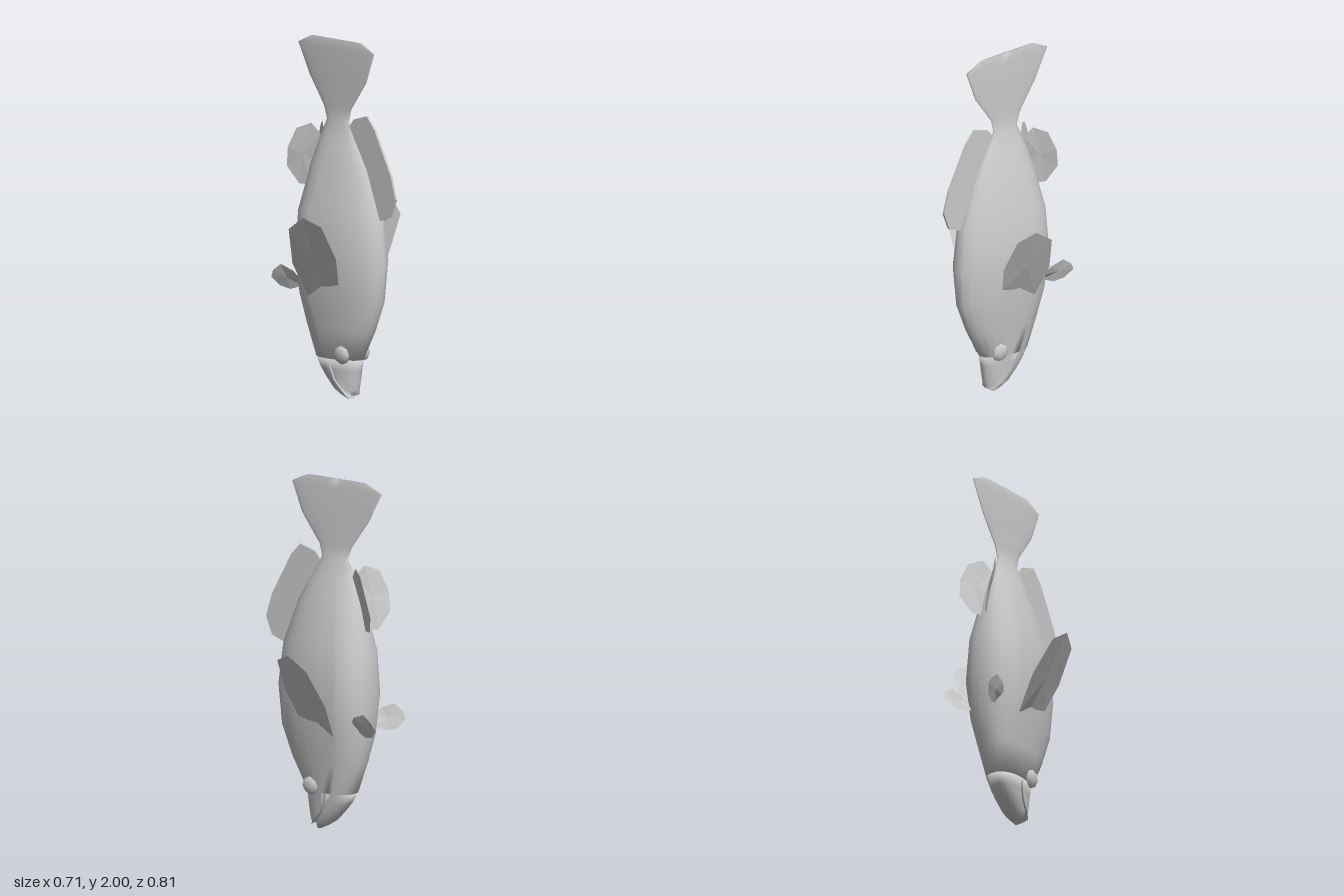
import * as THREE from 'three';

const SIDES = 28;

// Body sections along the height: [y, back z, belly z, half width, widest point as a fraction from the belly]
const TIP = [0.005, 0.085, 0.045, 0.02, 0.5];
const SNOUT = [
  [0.03, 0.1, -0.005, 0.042, 0.5],
  [0.06, 0.108, -0.05, 0.06, 0.47],
  [0.12, 0.118, -0.105, 0.075, 0.45],
  [0.17, 0.126, -0.145, 0.082, 0.42],
  [0.23, 0.138, -0.178, 0.092, 0.4],
];
const TRUNK = [
  SNOUT[4],
  [0.4, 0.23, -0.235, 0.118, 0.33],
  [0.57, 0.296, -0.278, 0.147, 0.28],
  [0.8, 0.317, -0.3, 0.172, 0.28],
  [1.04, 0.286, -0.288, 0.152, 0.3],
  [1.3, 0.188, -0.225, 0.088, 0.36],
  [1.45, 0.098, -0.17, 0.045, 0.42],
  [1.55, 0.042, -0.125, 0.017, 0.5],
  [1.62, 0.06, -0.15, 0.012, 0.5],
  [1.78, 0.175, -0.262, 0.012, 0.5],
  [1.95, 0.24, -0.35, 0.011, 0.5],
  [2.0, 0.14, -0.25, 0.004, 0.5],
];

// Egg-shaped ring: round towards the back, fuller towards the belly
function ring([y, back, belly, half, frac], limit) {
  const c = belly + (back - belly) * frac;
  return Array.from({ length: SIDES }, (_, i) => {
    const a = (i / SIDES) * Math.PI * 2;
    const co = Math.cos(a), s = Math.sin(a);
    const x = half * (s < 0 ? Math.sign(co) * Math.abs(co) ** 0.85 : co);
    const z = c + s * (s > 0 ? back - c : c - belly);
    return [x, y, limit ? limit(z, y) : z];
  });
}

// Skin over a stack of rings with closed ends
function loft(sections, limit) {
  const rings = sections.map((s) => ring(s, limit));
  const pos = rings.flat(2), idx = [];
  for (let r = 0; r < rings.length - 1; r++) {
    for (let i = 0; i < SIDES; i++) {
      const a = r * SIDES + i, b = r * SIDES + ((i + 1) % SIDES);
      idx.push(a, a + SIDES, b, b, a + SIDES, b + SIDES);
    }
  }
  const top = (rings.length - 1) * SIDES;
  for (let i = 1; i < SIDES - 1; i++) {
    idx.push(0, i, i + 1, top, top + i + 1, top + i);
  }
  const g = new THREE.BufferGeometry();
  g.setAttribute('position', new THREE.Float32BufferAttribute(pos, 3));
  g.setIndex(idx);
  g.computeVertexNormals();
  return g;
}

// Thin sheet fanned from the middle of its outline, on the chosen side
function finSheet(points, side) {
  const pts = points.map(([x, y, z]) => [x * side, y, z]);
  const mid = [0, 1, 2].map((k) => pts.reduce((t, p) => t + p[k], 0) / pts.length);
  const pos = pts.flatMap((p, i) => [...mid, ...p, ...pts[(i + 1) % pts.length]]);
  const g = new THREE.BufferGeometry();
  g.setAttribute('position', new THREE.Float32BufferAttribute(pos, 3));
  g.computeVertexNormals();
  return g;
}

// Piecewise linear lookup in [y, z] pairs
function lerpTable(table, y) {
  for (let i = 1; i < table.length; i++) {
    const [y0, z0] = table[i - 1], [y1, z1] = table[i];
    if (y <= y1) return z0 + (z1 - z0) * Math.max(0, (y - y0) / (y1 - y0));
  }
  return table[table.length - 1][1];
}

const UPPER_LIP = [[0.03, 0.09], [0.06, 0.062], [0.11, 0.012], [0.23, -0.026]];
const LOWER_LIP = [[0.005, 0.06], [0.06, 0.042], [0.13, -0.014], [0.23, -0.026]];

const PAIRED_FINS = {
  pectoralFin: [
    [0.355, 1.058, 0.037], [0.348, 0.98, -0.08], [0.255, 0.77, -0.143], [0.15, 0.575, -0.13],
    [0.145, 0.635, -0.02], [0.145, 0.665, 0.105], [0.21, 0.82, 0.15], [0.31, 1.01, 0.135],
  ],
  pelvicFin: [
    [0.08, 0.61, -0.24], [0.1, 0.585, -0.31], [0.122, 0.6, -0.37], [0.154, 0.65, -0.407],
    [0.162, 0.69, -0.385], [0.157, 0.73, -0.33], [0.14, 0.7, -0.255], [0.11, 0.65, -0.22],
  ],
  analFin: [
    [0.012, 1.46, -0.165], [0.045, 1.52, -0.205], [0.095, 1.49, -0.27], [0.115, 1.38, -0.318],
    [0.1, 1.27, -0.34], [0.045, 1.17, -0.3], [0.015, 1.165, -0.25], [0.005, 1.3, -0.21],
  ],
};

// Dorsal fin outline as [z, y]
const DORSAL = [
  [0.04, 1.51], [0.085, 1.57], [0.185, 1.6], [0.245, 1.53], [0.37, 1.29],
  [0.408, 1.16], [0.37, 1.06], [0.295, 1.03], [0.25, 1.03], [0.15, 1.3],
];

export function createModel() {
  const group = new THREE.Group();
  const solid = new THREE.MeshStandardMaterial({ color: 0xcccccc });
  const sheet = new THREE.MeshStandardMaterial({ color: 0xcccccc, side: THREE.DoubleSide, flatShading: true });
  const add = (name, geometry, material = solid) => {
    const mesh = new THREE.Mesh(geometry, material);
    mesh.name = name;
    group.add(mesh);
    return mesh;
  };

  // Body with tail, and the two jaws split along the mouth
  add('bodyAndTail', loft(TRUNK));
  add('upperJaw', loft(SNOUT, (z, y) => Math.max(z, lerpTable(UPPER_LIP, y))));
  add('lowerJaw', loft([TIP, ...SNOUT], (z, y) => Math.min(z, lerpTable(LOWER_LIP, y))));

  // Dorsal fin
  const shape = new THREE.Shape(DORSAL.map(([z, y]) => new THREE.Vector2(z, y)));
  const dorsal = new THREE.ExtrudeGeometry(shape, { depth: 0.014, bevelEnabled: false });
  dorsal.translate(0, 0, -0.007).rotateY(-Math.PI / 2);
  add('dorsalFin', dorsal);

  // Paired fins and eyes
  for (const [prefix, side] of [['left', 1], ['right', -1]]) {
    for (const [name, points] of Object.entries(PAIRED_FINS)) {
      add(`${prefix}${name[0].toUpperCase()}${name.slice(1)}`, finSheet(points, side), sheet);
    }
    const eye = add(`${prefix}Eye`, new THREE.SphereGeometry(0.054, 8, 6).rotateZ(Math.PI / 2));
    eye.scale.x = 0.5;
    eye.rotation.z = -0.12 * side;
    eye.position.set(0.08 * side, 0.26, 0.064);
  }
  return group;
}
